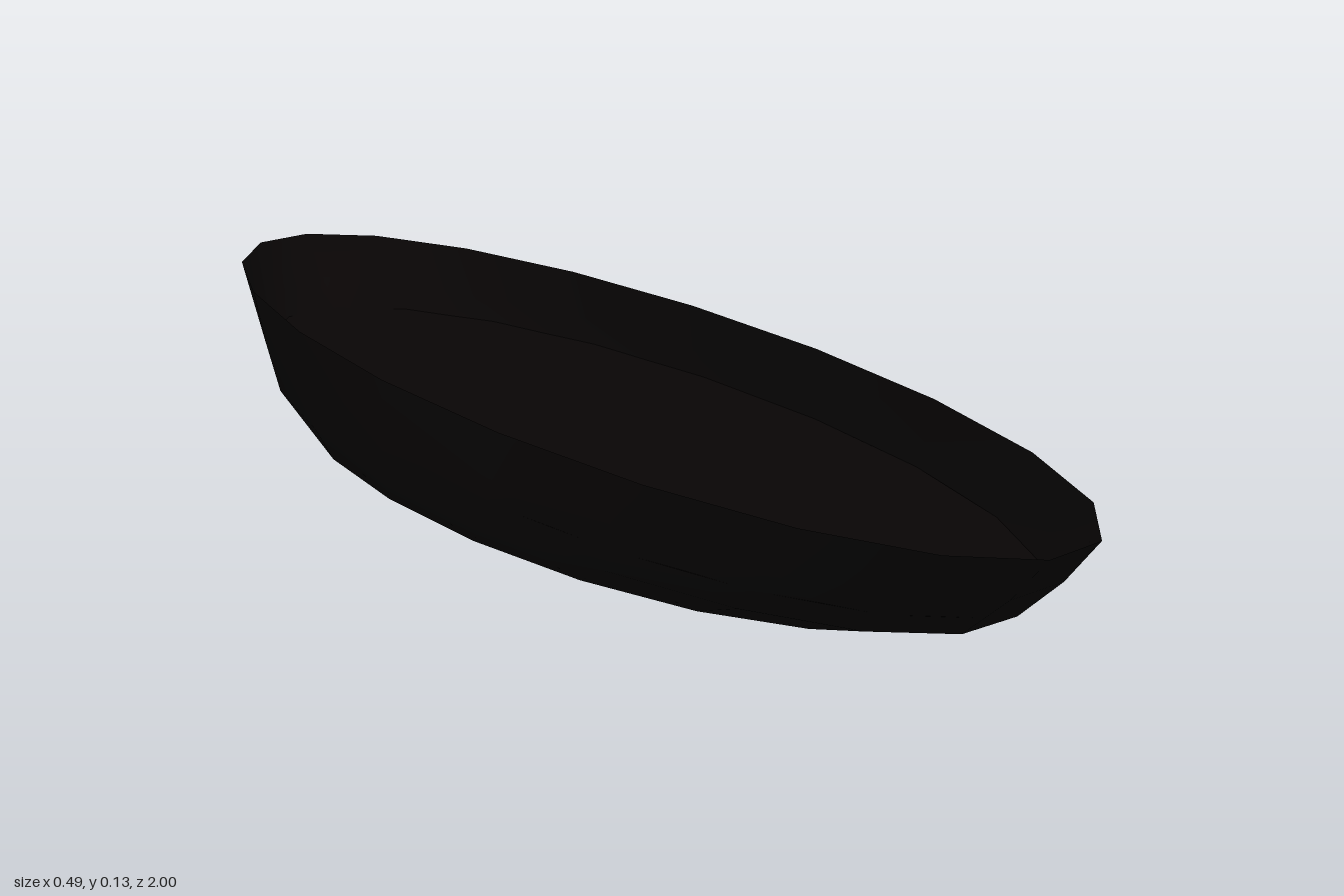
import * as THREE from 'three';

const SIDES = 20;

// Hull rings from rim to keel: height, half width, half length, sideways shift
const RINGS = [
  [0.13, 0.245, 1.0, 0],
  [0.08, 0.245, 0.93, 0],
  [0.03, 0.244, 0.84, 0],
  [0.004, 0.24, 0.71, 0.003],
];

// Inner floor, raised above the keel
const FLOOR = [0.054, 0.244, 0.883, 0];

// Lofts elliptical rings downwards and closes the last one with a fan
function loftGeometry(rings) {
  const positions = [];
  const indices = [];
  for (const [y, halfWidth, halfLength, shift] of rings) {
    for (let i = 0; i < SIDES; i++) {
      const a = (i / SIDES) * Math.PI * 2;
      positions.push(shift + halfWidth * Math.cos(a), y, halfLength * Math.sin(a));
    }
  }
  const centre = rings.length * SIDES;
  const last = rings.length - 1;
  positions.push(0, rings[last][0] - 0.004, 0);

  for (let r = 0; r <= last; r++) {
    for (let i = 0; i < SIDES; i++) {
      const a = r * SIDES + i;
      const b = r * SIDES + ((i + 1) % SIDES);
      if (r < last) indices.push(a, b, a + SIDES, b, b + SIDES, a + SIDES);
      else indices.push(a, b, centre);
    }
  }
  const geometry = new THREE.BufferGeometry();
  geometry.setAttribute('position', new THREE.Float32BufferAttribute(positions, 3));
  geometry.setIndex(indices);
  geometry.computeVertexNormals();
  return geometry;
}

export function createModel() {
  const group = new THREE.Group();
  group.name = 'openHull';
  const material = new THREE.MeshStandardMaterial({ color: 0x080505, side: THREE.DoubleSide });

  const parts = { hull: RINGS, innerFloor: [FLOOR] };
  for (const [name, rings] of Object.entries(parts)) {
    const mesh = new THREE.Mesh(loftGeometry(rings), material);
    mesh.name = name;
    group.add(mesh);
  }
  return group;
}
